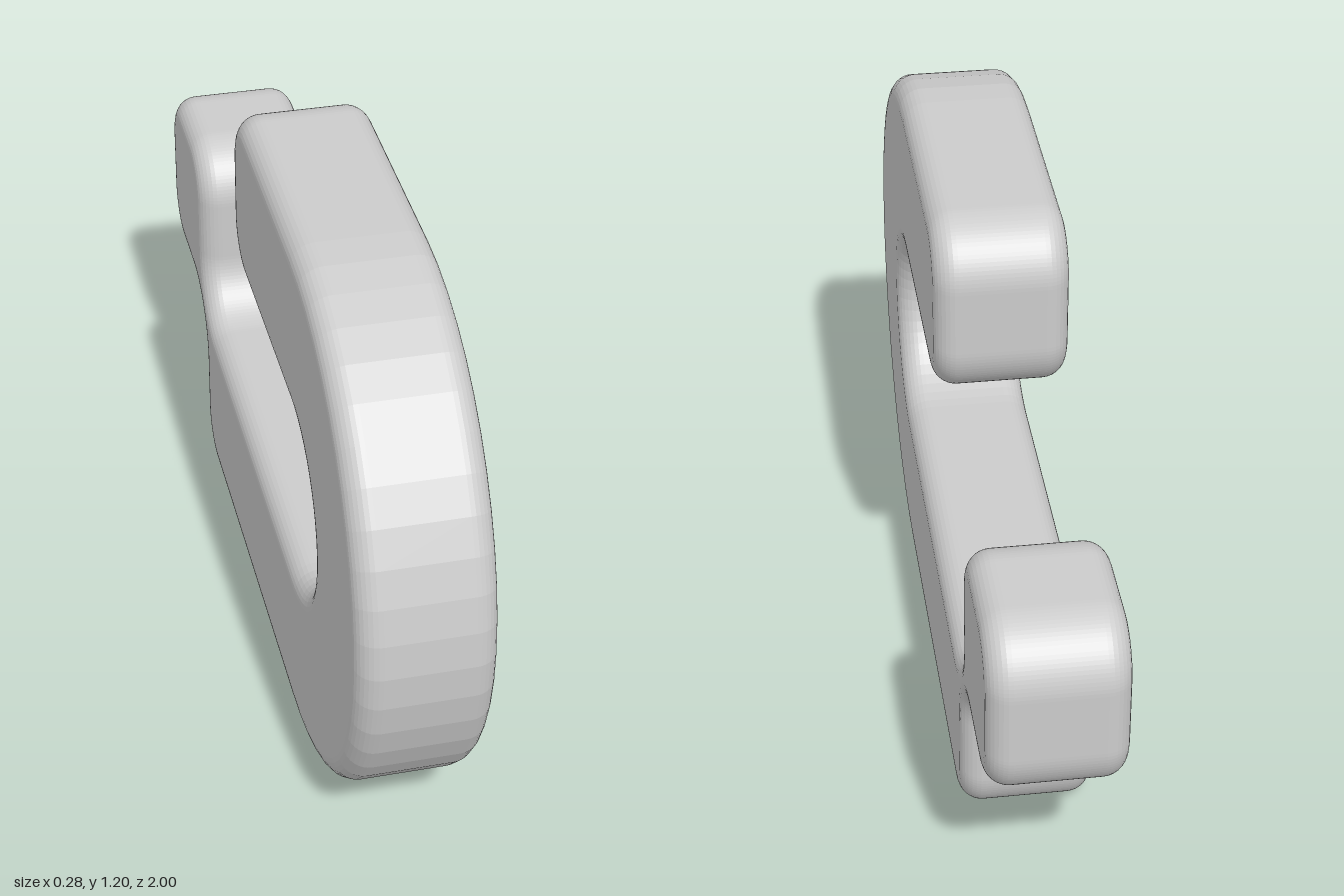
import * as THREE from 'three';

const WIDTH = 0.28, BEVEL = 0.05, R = 0.13;

// Side outline drawn in (-z, y), counter-clockwise
function hookOutline() {
  const s = new THREE.Shape();
  const arc = (x, y, r, from, to) =>
    s.absarc(x, y, r, THREE.MathUtils.degToRad(from), THREE.MathUtils.degToRad(to), to < from);

  arc(-0.4, 0.6, 0.6, 90, 270);   // outer bend
  arc(0.6 - R, R, R, -90, 0);     // end of lower arm
  arc(0.6 + R, 0.4 - R, R, 180, 90); // fillet under the neck
  arc(1 - R, 0.4 + R, R, -90, 0); // raised end block
  arc(1 - R, 0.8 - R, R, 0, 90);
  arc(0.6 + R, 0.8 - R, R, 90, 180);
  arc(0.6 - R, 0.4 + R, R, 0, -90); // fillet above the neck
  arc(-0.4, 0.6, 0.2, 270, 90);   // inner bend
  arc(0.2 - R, 0.8 + R, R, -90, 0); // end of upper arm
  arc(0.2 - R, 1.2 - R, R, 0, 90);
  s.closePath();
  return s;
}

export function createModel() {
  const group = new THREE.Group();
  group.name = 'hook';

  const depth = WIDTH - 2 * BEVEL;
  const geometry = new THREE.ExtrudeGeometry(hookOutline(), {
    depth,
    curveSegments: 12,
    bevelEnabled: true,
    bevelThickness: BEVEL,
    bevelSize: BEVEL,
    bevelOffset: -BEVEL,
    bevelSegments: 8,
  });
  geometry.translate(0, 0, -depth / 2);
  geometry.rotateY(Math.PI / 2);

  const body = new THREE.Mesh(geometry, new THREE.MeshStandardMaterial({ color: 0xcccccc }));
  body.name = 'hookBody';
  group.add(body);
  return group;
}
